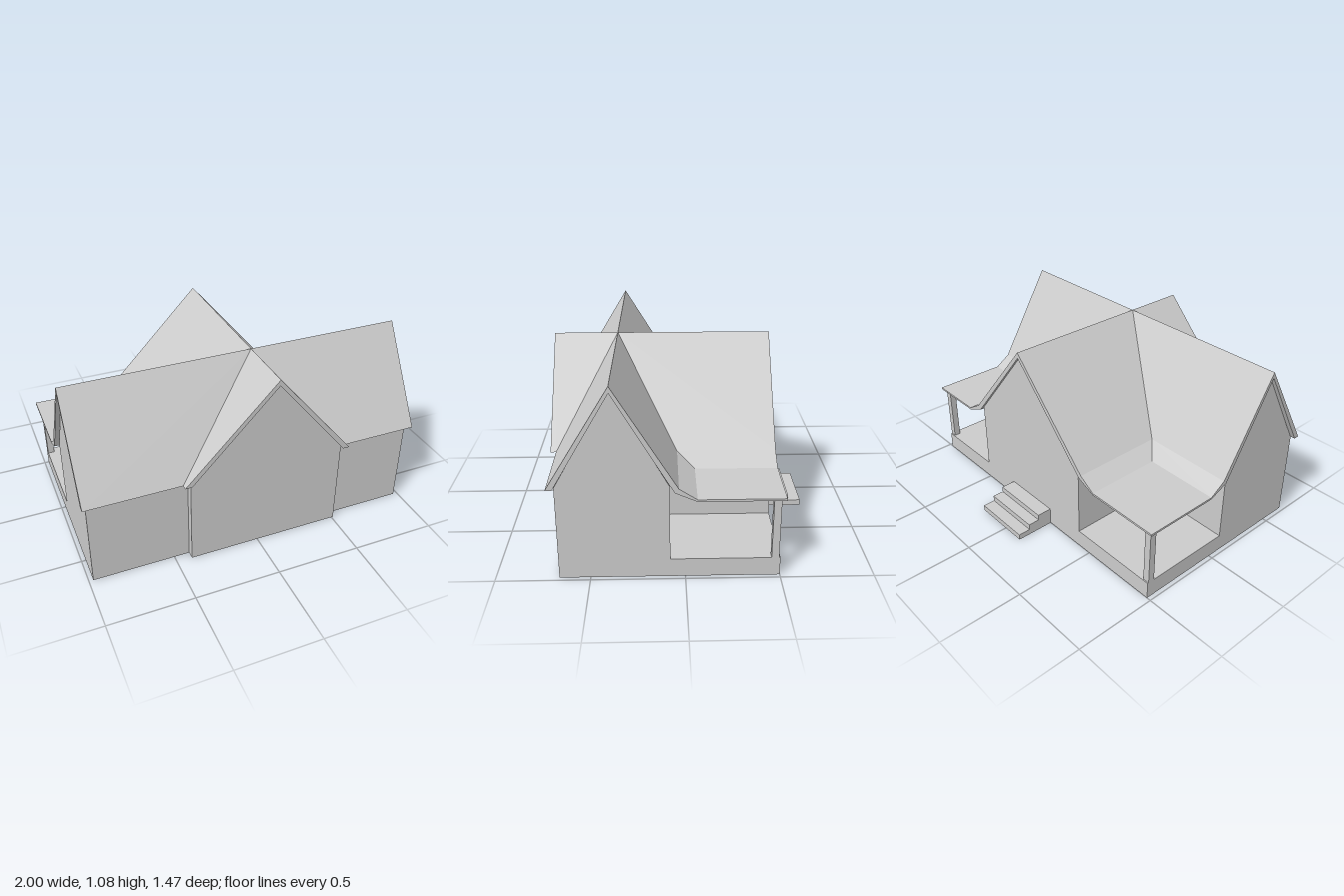
import * as THREE from 'three';

const material = new THREE.MeshStandardMaterial({ color: 0xcccccc, flatShading: true, side: THREE.DoubleSide });

function add(parent, name, geometry) {
  const mesh = new THREE.Mesh(geometry, material);
  mesh.name = name;
  parent.add(mesh);
  return mesh;
}

// Box given by its minimum and maximum corners
function block(parent, name, [x0, y0, z0], [x1, y1, z1]) {
  const mesh = add(parent, name, new THREE.BoxGeometry(x1 - x0, y1 - y0, z1 - z0));
  mesh.position.set((x0 + x1) / 2, (y0 + y1) / 2, (z0 + z1) / 2);
}

// Gabled body: a five-sided outline pulled along its length
function gable(left, right, eave, ridgeAt, ridge, depth) {
  const shape = new THREE.Shape([[left, 0], [right, 0], [right, eave], [ridgeAt, ridge], [left, eave]]
    .map(p => new THREE.Vector2(...p)));
  return new THREE.ExtrudeGeometry(shape, { depth, bevelEnabled: false });
}

// Roof panel: four top corners joined to four underside corners
function panel(parent, name, top, under) {
  const v = top.map(p => new THREE.Vector3(...p));
  const normal = v[1].clone().sub(v[0]).cross(v[2].clone().sub(v[0]));
  if (normal.y < 0) {
    top = [...top].reverse();
    under = [...under].reverse();
  }
  const points = [];
  const quad = (a, b, c, d) => points.push(...a, ...b, ...c, ...a, ...c, ...d);
  quad(...top);
  quad(...[...under].reverse());
  for (let i = 0; i < 4; i++) {
    const j = (i + 1) % 4;
    quad(top[i], under[i], under[j], top[j]);
  }
  const geometry = new THREE.BufferGeometry();
  geometry.setAttribute('position', new THREE.Float32BufferAttribute(points, 3));
  geometry.computeVertexNormals();
  add(parent, name, geometry);
}

export function createModel() {
  const house = new THREE.Group();
  house.name = 'house';

  // Ridge crossing, eave and porch heights
  const rx = 0.085, rz = 0.37, ridge = 1.08, inner = 1.045, eave = 0.53, low = 0.468;
  const front = 0.735, back = -0.515, backEave = 0.035, flareEnd = -0.06;

  // Main body runs along x, cross body along z
  add(house, 'mainWalls', gable(0.08, 0.665, eave, rz, inner, 1.95)
    .rotateY(-Math.PI / 2).translate(0.975, 0, 0));
  add(house, 'crossWalls', gable(-0.41, 0.51, eave, rx, inner, 1.21).translate(0, 0, -0.5));

  // Porch floor and back steps
  block(house, 'porchFloor', [-0.975, 0, -0.5], [0.975, 0.105, 0.08]);
  [-0.735, -0.66, -0.59].forEach((z, i) =>
    block(house, 'step', [-0.14, i * 0.035, z], [0.23, (i + 1) * 0.035, -0.5]));

  // Each half of the roof: end, flare foot, eave and wall line in x
  const roof = new THREE.Group();
  roof.name = 'roof';
  house.add(roof);
  const halves = [
    { end: 1, foot: 0.65, edge: 0.55, wall: 0.51, lip: 0.53 },
    { end: -1, foot: -0.55, edge: -0.45, wall: -0.41, lip: -0.43 }
  ];
  for (const { end, foot, edge, wall, lip } of halves) {
    const c = [rx, ridge, rz], u = [rx, inner, rz];
    const lipY = 0.507, lipZ = 0.056, under = low - 0.012;

    panel(roof, 'mainFrontSlope',
      [c, [end, ridge, rz], [end, eave, 0.705], [edge, eave, 0.705]],
      [u, [end, inner, rz], [end, eave, 0.67], [wall, eave, 0.67]]);
    panel(roof, 'crossFrontSlope',
      [c, [edge, eave, 0.705], [edge, eave, front], [rx, ridge, front]],
      [u, [wall, eave, 0.67], [wall, eave, front], [rx, inner, front]]);
    panel(roof, 'mainBackSlope',
      [c, [end, ridge, rz], [end, eave, backEave], [edge, eave, backEave]],
      [u, [end, inner, rz], [end, lipY, lipZ], [lip, lipY, lipZ]]);
    panel(roof, 'crossBackSlope',
      [c, [edge, eave, backEave], [edge, eave, back], [rx, ridge, back]],
      [u, [lip, lipY, lipZ], [lip, lipY, back], [rx, inner, back]]);

    // Flared skirts leading down to the flat porch roof
    panel(roof, 'mainFlare',
      [[end, eave, backEave], [end, low, flareEnd], [foot, low, flareEnd], [edge, eave, backEave]],
      [[end, lipY, lipZ], [end, under, flareEnd], [foot, under, flareEnd], [lip, lipY, lipZ]]);
    panel(roof, 'crossFlare',
      [[edge, eave, backEave], [foot, low, flareEnd], [foot, low, back], [edge, eave, back]],
      [[lip, lipY, lipZ], [foot, under, flareEnd], [foot, under, back], [lip, lipY, back]]);
    panel(roof, 'porchRoof',
      [[end, low, flareEnd], [end, low, back], [foot, low, back], [foot, low, flareEnd]],
      [[end, under, flareEnd], [end, under, back], [foot, under, back], [foot, under, flareEnd]]);

    // Corner post
    const px = Math.sign(end) * 0.955;
    block(house, 'porchPost', [px - 0.02, 0.105, -0.493], [px + 0.02, under, -0.453]);
  }
  return house;
}
